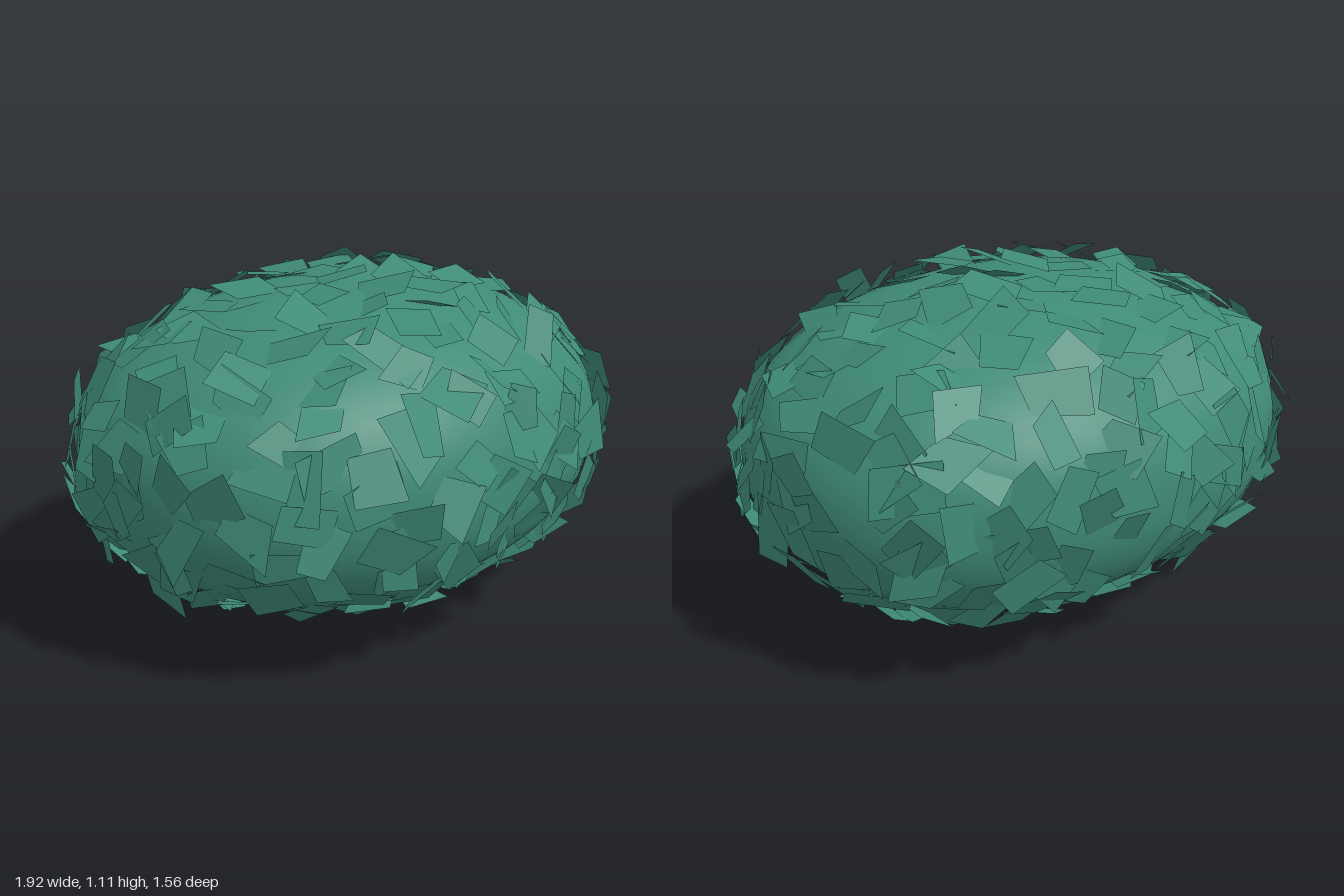
import * as THREE from 'three';

const RADII = new THREE.Vector3(0.91, 0.49, 0.725);
const CENTER = new THREE.Vector3(-0.02, 0.57, 0);
const POWER = 2.2; // slightly squarer than an ellipsoid

// Small seeded generator with well-mixed bits
function seeded(state) {
  return () => {
    state = (state + 0x6d2b79f5) | 0;
    let t = Math.imul(state ^ (state >>> 15), 1 | state);
    t = (t + Math.imul(t ^ (t >>> 7), 61 | t)) ^ t;
    return ((t ^ (t >>> 14)) >>> 0) / 4294967296;
  };
}

// Point and normal of the rounded bush surface in a given direction
function surface(dir) {
  const sum = ['x', 'y', 'z'].reduce((s, k) => s + Math.abs(dir[k]) ** POWER, 0);
  const unit = dir.clone().multiplyScalar(sum ** (-1 / POWER));
  const normal = new THREE.Vector3();
  for (const k of ['x', 'y', 'z']) {
    normal[k] = Math.sign(unit[k]) * Math.abs(unit[k]) ** (POWER - 1) / RADII[k];
  }
  return { point: unit.multiply(RADII).add(CENTER), normal: normal.normalize() };
}

function bodyGeometry() {
  const geometry = new THREE.SphereGeometry(1, 48, 32);
  const { position, normal } = geometry.attributes;
  const dir = new THREE.Vector3();
  for (let i = 0; i < position.count; i++) {
    const s = surface(dir.fromBufferAttribute(position, i));
    position.setXYZ(i, ...s.point.toArray());
    normal.setXYZ(i, ...s.normal.toArray());
  }
  return geometry;
}

// Irregular four-sided leaves, spread evenly and loosely tangent to the body
function leafGeometry(count) {
  const random = seeded(12);
  const spread = (amount) => (random() * 2 - 1) * amount;
  const golden = Math.PI * (3 - Math.sqrt(5));
  const vertices = [];
  for (let i = 0; i < count; i++) {
    const y = 1 - 2 * (i + random()) / count;
    const angle = i * golden + spread(0.15), r = Math.sqrt(1 - y * y);
    const { point, normal } = surface(new THREE.Vector3(r * Math.cos(angle), y, r * Math.sin(angle)));
    point.addScaledVector(normal, 0.004 + random() * 0.026);
    const turn = new THREE.Quaternion().setFromUnitVectors(new THREE.Vector3(0, 0, 1), normal)
      .multiply(new THREE.Quaternion().setFromEuler(
        new THREE.Euler(spread(0.4), spread(0.4), spread(Math.PI), 'XYZ')));
    const w = 0.065 + random() * 0.025, h = 0.05 + random() * 0.02;
    const corners = [[-1, -1], [1, -1], [1, 1], [-1, 1]].map(([sx, sy]) =>
      new THREE.Vector3(sx * w + spread(0.03), sy * h + spread(0.025), 0)
        .applyQuaternion(turn).add(point));
    for (const k of [0, 1, 2, 0, 2, 3]) vertices.push(...corners[k].toArray());
  }
  const geometry = new THREE.BufferGeometry();
  geometry.setAttribute('position', new THREE.Float32BufferAttribute(vertices, 3));
  geometry.computeVertexNormals();
  return geometry;
}

export function createModel() {
  const group = new THREE.Group();
  group.name = 'bush';
  const color = 0x3f8a77;

  const body = new THREE.Mesh(bodyGeometry(), new THREE.MeshStandardMaterial({ color }));
  body.name = 'foliageBody';

  const leaves = new THREE.Mesh(leafGeometry(360),
    new THREE.MeshStandardMaterial({ color, flatShading: true, side: THREE.DoubleSide }));
  leaves.name = 'leaves';

  group.add(body, leaves);
  return group;
}
